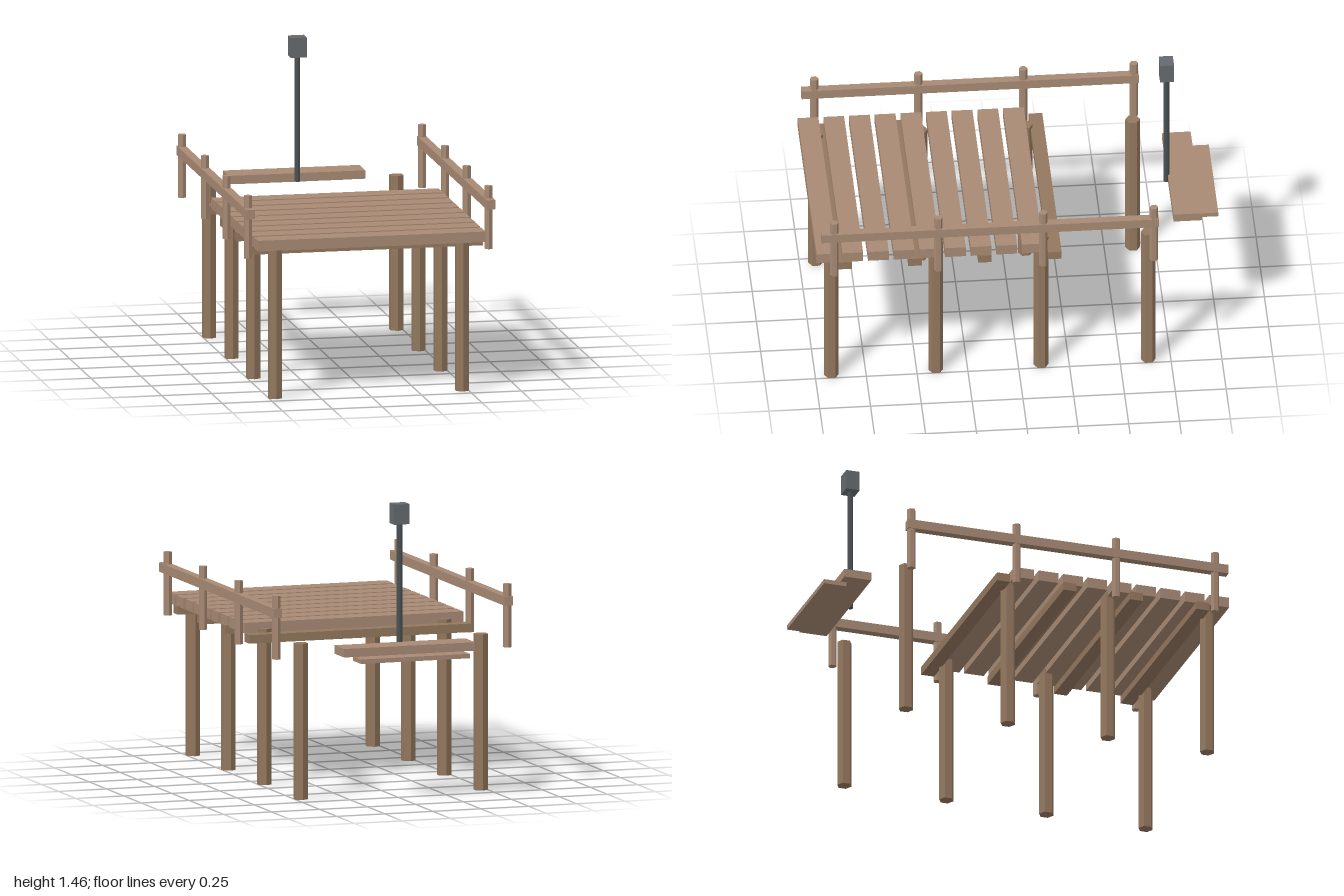
import * as THREE from 'three';

const paint = (color) => {
  const m = new THREE.MeshStandardMaterial({ color, flatShading: true });
  return m;
};

export function createModel() {
  const model = new THREE.Group();
  const wood = paint(0xa88a74);
  const postWood = paint(0x94785f);
  const poleMetal = paint(0x4a5054);
  const lampMetal = paint(0x666a6e);

  const add = (name, geometry, material, x, y, z) => {
    const mesh = new THREE.Mesh(geometry, material);
    mesh.name = name;
    mesh.position.set(x, y, z);
    model.add(mesh);
    return mesh;
  };
  const box = (name, w, h, d, x, y, z, material = wood) =>
    add(name, new THREE.BoxGeometry(w, h, d), material, x, y, z);
  const post = (name, r, y0, y1, x, z, material, sides = 6) =>
    add(name, new THREE.CylinderGeometry(r, r, y1 - y0, sides), material, x, (y0 + y1) / 2, z);

  // Deck planks
  for (let i = 0; i < 9; i++) box('deckPlank', 1.14, 0.053, 0.102, 0, 0.778, 0.949 - i * 0.1263);

  // Cross beams under the deck
  for (let i = 0; i < 4; i++) box('crossBeam', 1.16, 0.042, 0.067, 0, 0.736, 0.861 - i * 0.344, postWood);

  // Support piles, railing posts and rails on both sides
  for (const side of [-1, 1]) {
    for (const z of [0.92, 0.406, -0.112, -0.64]) post('supportPile', 0.0365, 0, 0.774, side * 0.469, z, postWood);
    for (const z of [0.916, 0.404, -0.112, -0.657]) post('railPost', 0.021, 0.702, 1.017, side * 0.602, z, wood);
    box('handRail', 0.043, 0.046, 1.66, side * 0.602, 0.933, 0.15);
  }

  // Detached boards behind the deck
  box('upperBoard', 0.684, 0.042, 0.14, 0, 0.754, -0.845);
  box('lowerBoard', 0.568, 0.022, 0.115, 0, 0.721, -0.9425);

  // Lamp on its pole
  post('lampPole', 0.0145, 0.735, 1.37, 0, -0.768, poleMetal, 8);
  box('lampHead', 0.08, 0.1, 0.069, 0, 1.41, -0.768, lampMetal);

  return model;
}
